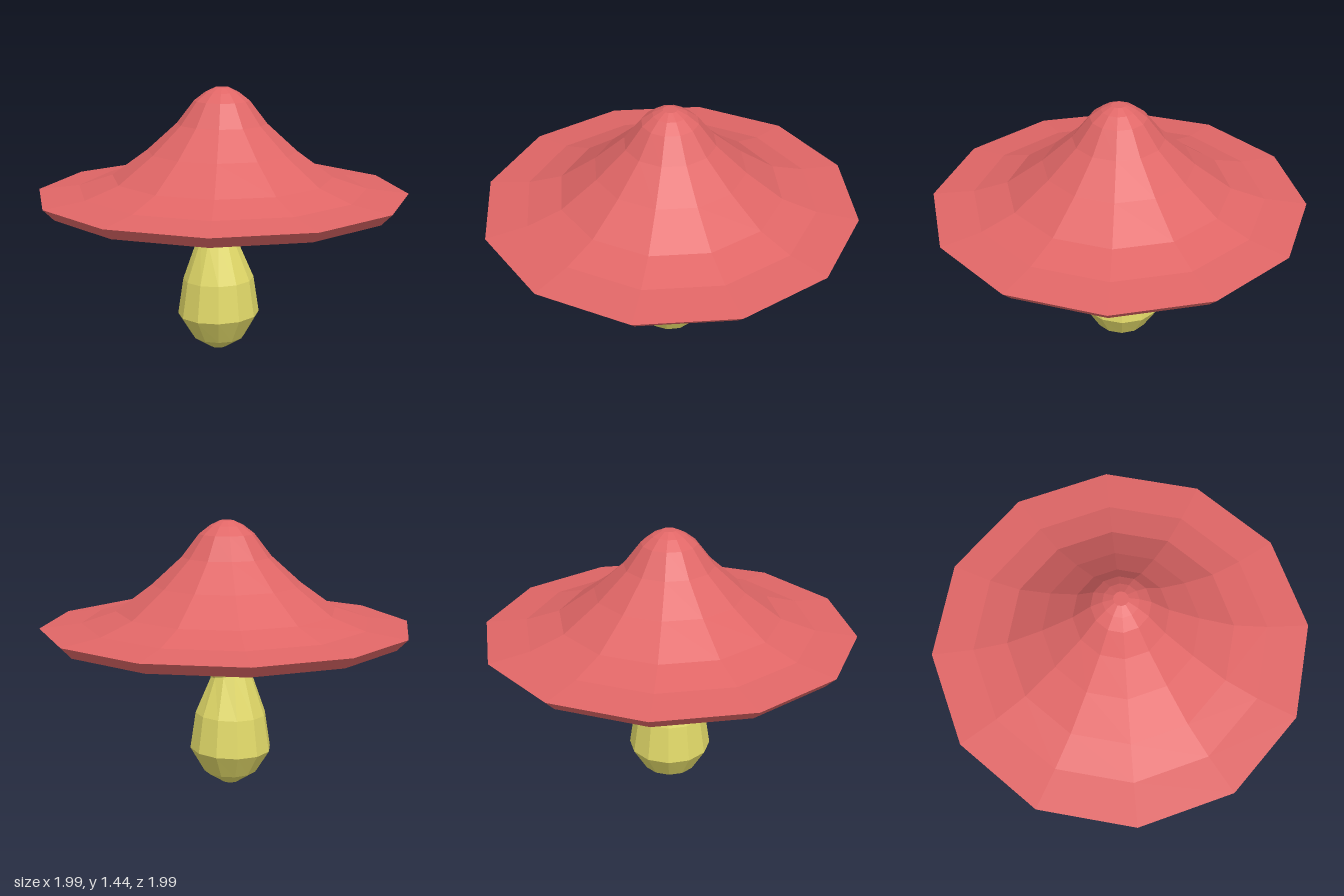
import * as THREE from 'three';

const SIDES = 12;

// Faceted solid of revolution from [radius, height] pairs, listed bottom to top
function turned(name, profile, color, phase = 0) {
  const points = profile.map(([r, y]) => new THREE.Vector2(r, y));
  const geometry = new THREE.LatheGeometry(points, SIDES, phase);
  const material = new THREE.MeshStandardMaterial({ color, flatShading: true });
  const mesh = new THREE.Mesh(geometry, material);
  mesh.name = name;
  return mesh;
}

export function createModel() {
  const group = new THREE.Group();
  group.name = 'mushroom';

  // Wide flared cap with a bevelled rim and a flat underside
  const cap = turned('cap', [
    [0, 0.82], [0.937, 0.82], [0.996, 0.88], [0.775, 0.905], [0.592, 0.965],
    [0.4, 1.105], [0.24, 1.25], [0.148, 1.37], [0.09, 1.415], [0.038, 1.44], [0, 1.44],
  ], 0xe06666, THREE.MathUtils.degToRad(-3.7));
  group.add(cap);

  // Bulbous stem, pinched below the cap
  const stem = turned('stem', [
    [0, 0], [0.045, 0], [0.145, 0.065], [0.223, 0.196],
    [0.193, 0.395], [0.109, 0.612], [0.158, 0.83], [0, 0.83],
  ], 0xe0d868);

  // Tilt the pinched ring and shift the stem slightly off centre
  const position = stem.geometry.attributes.position;
  for (let i = 0; i < position.count; i++) {
    const x = position.getX(i), y = position.getY(i);
    const slope = y > 0.55 && y < 0.7 ? -0.2 : y > 0.15 && y < 0.5 ? 0.03 : 0;
    position.setXYZ(i, x + (y > 0.8 ? -0.012 : -0.021), y + slope * x, position.getZ(i) + 0.003);
  }
  stem.geometry.computeVertexNormals();
  group.add(stem);

  return group;
}
